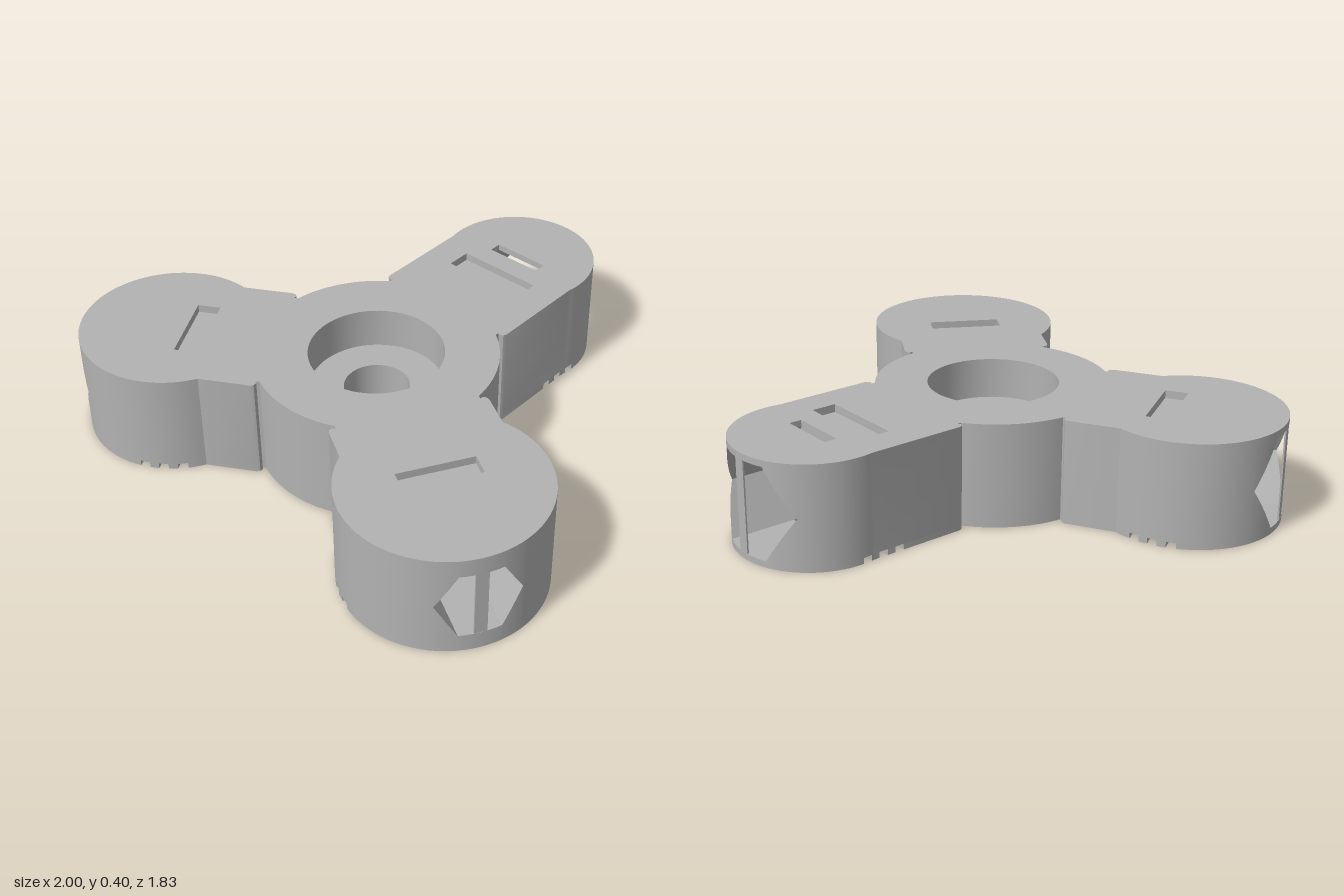
import * as THREE from 'three';
import { toCreasedNormals } from 'three/addons/utils/BufferGeometryUtils.js';

const H = 0.395, MID = H / 2, TREAD = 0.022;        // height, mid-plane, groove depth
const HUB = 0.44, NECK = 0.285, BORE = 0.12, SEAT = 0.245, SEAT_Y = H - 0.156;
const GROOVES = [[0.632, 0.667], [0.7, 0.735], [0.768, 0.804]];
const END = 0.779, SLOT = 0.827, BAR = 0.0225;       // cavity end, slot outer edge, post half width

// t runs outward along an arm from the hub, s runs across it
const ARMS = [
  { name: 'back', ang: 90, c: 0.81, r: 0.29, R: 0.21, a: 0.173, rec: [0.6, 0.695, 0.165], slot: true },
  { name: 'right', ang: 210, c: 0.759, r: 0.34, R: 0.2, a: 0.173, rec: [0.623, 0.708, 0.14] },
  { name: 'left', ang: 330, c: 0.736, r: 0.3625, R: 0.15, a: 0.13, rec: [0.65, 0.732, 0.14] },
];

const V = (x, y) => new THREE.Vector2(x, y);
const place = (arm, t, s) => V(t, s).rotateAround(V(0, 0), THREE.MathUtils.degToRad(arm.ang));
const arc = (r, a0, a1, n) =>
  Array.from({ length: n + 1 }, (_, i) => V(r * Math.cos(a0 + (a1 - a0) * i / n), r * Math.sin(a0 + (a1 - a0) * i / n)));
const circle = (r) => arc(r, 0, Math.PI * 2, 64).slice(0, -1);
const rect = (arm, t0, t1, w) => [[t0, -w], [t1, -w], [t1, w], [t0, w]].map(([t, s]) => place(arm, t, s));

// Half-width of an arm at t
function width(arm, t) {
  const d = t - arm.c, w = Math.sqrt(Math.max(0, arm.r ** 2 - d * d));
  return d < 0 ? Math.max(NECK, w) : w;
}

// One side of an arm: relief notch, neck, round end up to the tip
function half(arm) {
  const flat = arm.R - arm.a / Math.sqrt(3);
  const join = Math.PI - Math.asin(NECK / arm.r);
  const phi = Array.from({ length: 30 }, (_, i) => join * (1 - i / 30));
  phi.push(...[arm.R, flat, BAR].map((s) => Math.asin(s / arm.r)));
  phi.sort((a, b) => b - a);
  const notch = [[0.357, 0.257], [0.372, 0.258], [0.366, 0.268], [0.372, 0.28], [0.385, NECK]];
  return [...notch, ...phi.map((p) => [arm.c + arm.r * Math.cos(p), arm.r * Math.sin(p)])];
}

// Arm edge between t0 and t1, from the negative side round to the positive
function armEdge(arm, t0 = -1, t1 = 9) {
  const side = half(arm).filter(([t]) => t > t0 && t < t1);
  if (t0 > 0) side.unshift([t0, width(arm, t0)]);
  side.push(t1 < 9 ? [t1, width(arm, t1)] : [arm.c + arm.r, 0]);
  const mirrored = side.map(([t, s]) => [t, -s]);
  const back = side.slice().reverse();
  if (t1 >= 9) back.shift();
  return [...mirrored, ...back].map(([t, s]) => ({ arm, t, s, p: place(arm, t, s) }));
}

// Whole outline, counter-clockwise, with arms optionally cut off at t1
function outline(t1) {
  const gap = Math.asin(0.257 / HUB);
  return ARMS.flatMap((arm) => {
    const a = THREE.MathUtils.degToRad(arm.ang);
    const hubArc = arc(HUB, a + gap, a + Math.PI * 2 / 3 - gap, 18).slice(1, -1);
    return [...armEdge(arm, -1, t1), ...hubArc.map((p) => ({ p, s: 9 }))];
  });
}

const points = (edge) => edge.map((e) => e.p);
function shapeOf(pts, holes = []) {
  const s = new THREE.Shape(pts);
  s.holes = holes.map((h) => new THREE.Path(h));
  return s;
}

// Shapes are drawn in plan, then laid down so their depth becomes height
const finish = (g) => toCreasedNormals(g.rotateX(-Math.PI / 2), 0.5);

function plate(pts, holes, y, down = false) {
  const g = new THREE.ShapeGeometry(shapeOf(pts, holes)).translate(0, 0, y);
  if (down) {
    const ix = g.index.array;
    for (let i = 0; i < ix.length; i += 3) [ix[i], ix[i + 1]] = [ix[i + 1], ix[i]];
  }
  return finish(g);
}
const slab = (pts, holes) =>
  finish(new THREE.ExtrudeGeometry(shapeOf(pts, holes), { depth: TREAD, bevelEnabled: false }));

const soup = (pos) => finish(new THREE.BufferGeometry().setAttribute('position', new THREE.Float32BufferAttribute(pos, 3)));
const quad = (out, ...c) => [0, 1, 2, 0, 2, 3].forEach((i) => out.push(c[i][0].x, c[i][0].y, c[i][1]));

// Inward-facing wall round a hole
function holeWall(pts, y0, y1) {
  const pos = [];
  pts.forEach((a, i) => {
    const b = pts[(i + 1) % pts.length];
    quad(pos, [b, y0], [a, y0], [a, y1], [b, y1]);
  });
  return soup(pos);
}

// Outer wall with hexagonal windows, and the hexagonal cavities behind them
function walls() {
  const wall = [], cavity = [], edge = outline();
  const open = (e) => e.arm && e.t > e.arm.c ? Math.max(0, Math.min(e.arm.a, (e.arm.R - Math.abs(e.s)) * Math.sqrt(3))) : 0;
  edge.forEach((a, i) => {
    const b = edge[(i + 1) % edge.length], ha = open(a), hb = open(b);
    quad(wall, [a.p, TREAD], [b.p, TREAD], [b.p, MID - hb], [a.p, MID - ha]);
    quad(wall, [a.p, MID + ha], [b.p, MID + hb], [b.p, H], [a.p, H]);
    if (ha + hb < 1e-6) return;
    const arm = a.arm, inner = (e, t) => place(arm, t, e.s);
    const flat = Math.min(ha, hb) > arm.a - 1e-6;
    const t = arm.slot && flat ? SLOT : END;
    const ai = inner(a, t), bi = inner(b, t), ae = inner(a, END), be = inner(b, END);
    quad(cavity, [a.p, MID - ha], [b.p, MID - hb], [bi, MID - hb], [ai, MID - ha]);
    quad(cavity, [b.p, MID + hb], [a.p, MID + ha], [ai, MID + ha], [bi, MID + hb]);
    quad(cavity, [ae, MID - ha], [be, MID - hb], [be, MID + hb], [ae, MID + ha]);
  });
  return [soup(wall), soup(cavity)];
}

export function createModel() {
  const model = new THREE.Group();
  model.name = 'threeArmSpinner';
  model.position.z = 0.18;
  const grey = new THREE.MeshStandardMaterial({ color: 0xb2b2b2 });
  grey.name = 'grey';
  const add = (name, geometry) => {
    const m = new THREE.Mesh(geometry, grey);
    m.name = name;
    model.add(m);
    return m;
  };

  const [wall, cavity] = walls();
  add('outerWall', wall);
  add('weightCavities', cavity);

  // Top face with bearing seat, arm recesses and the back slot
  const full = points(outline()), back = ARMS[0];
  const slotHalf = back.R - back.a / Math.sqrt(3);
  const slot = rect(back, END, SLOT, slotHalf);
  const recesses = ARMS.map((arm) => rect(arm, ...arm.rec));
  add('topFace', plate(full, [circle(SEAT), slot, ...recesses], H));
  recesses.forEach((r, i) => {
    add(ARMS[i].name + 'RecessWall', holeWall(r, H - 0.03, H));
    add(ARMS[i].name + 'RecessFloor', plate(r, [], H - 0.03));
  });
  add('slotTopWall', holeWall(slot, MID + back.a, H));
  add('slotBottomWall', holeWall(slot, TREAD, MID - back.a));

  // Bearing seat and bore
  add('bearingSeatWall', holeWall(circle(SEAT), SEAT_Y, H));
  add('bearingSeatFloor', plate(circle(SEAT), [circle(BORE)], SEAT_Y));
  add('boreWall', holeWall(circle(BORE), TREAD, SEAT_Y));

  // Underside: groove bottoms, then the raised pads between the grooves
  add('grooveBottoms', plate(full, [circle(BORE), slot], TREAD, true));
  const u = Math.asin(0.025 / BORE), l = Math.asin(0.075 / BORE);
  const boreAndBar = [
    V(0.3, -0.025), ...arc(BORE, -u, Math.PI + u, 40), V(-0.3, -0.025),
    V(-0.3, -0.075), ...arc(BORE, Math.PI + l, Math.PI * 2 - l, 20), V(0.3, -0.075),
  ];
  add('hubPad', slab(points(outline(GROOVES[0][0])), [boreAndBar]));
  for (const arm of ARMS) {
    for (let i = 0; i < 2; i++) add(arm.name + 'Rib', slab(points(armEdge(arm, GROOVES[i][1], GROOVES[i + 1][0]))));
    const tip = points(armEdge(arm, GROOVES[2][1]));
    if (arm.slot) {
      const t0 = GROOVES[2][1];
      tip.push(...[[t0, slotHalf], [SLOT, slotHalf], [SLOT, -slotHalf], [t0, -slotHalf]].map(([t, s]) => place(arm, t, s)));
    }
    add(arm.name + 'TipPad', slab(tip));

    // Thin upright post across the window
    const post = add(arm.name + 'WindowPost', new THREE.BoxGeometry(0.006, arm.a * 2, BAR * 2));
    const p = place(arm, arm.c + arm.r - 0.004, 0);
    post.position.set(p.x, MID, -p.y);
    post.rotation.y = THREE.MathUtils.degToRad(arm.ang);
  }

  const root = new THREE.Group();
  root.name = 'spinner';
  root.add(model);
  return root;
}
